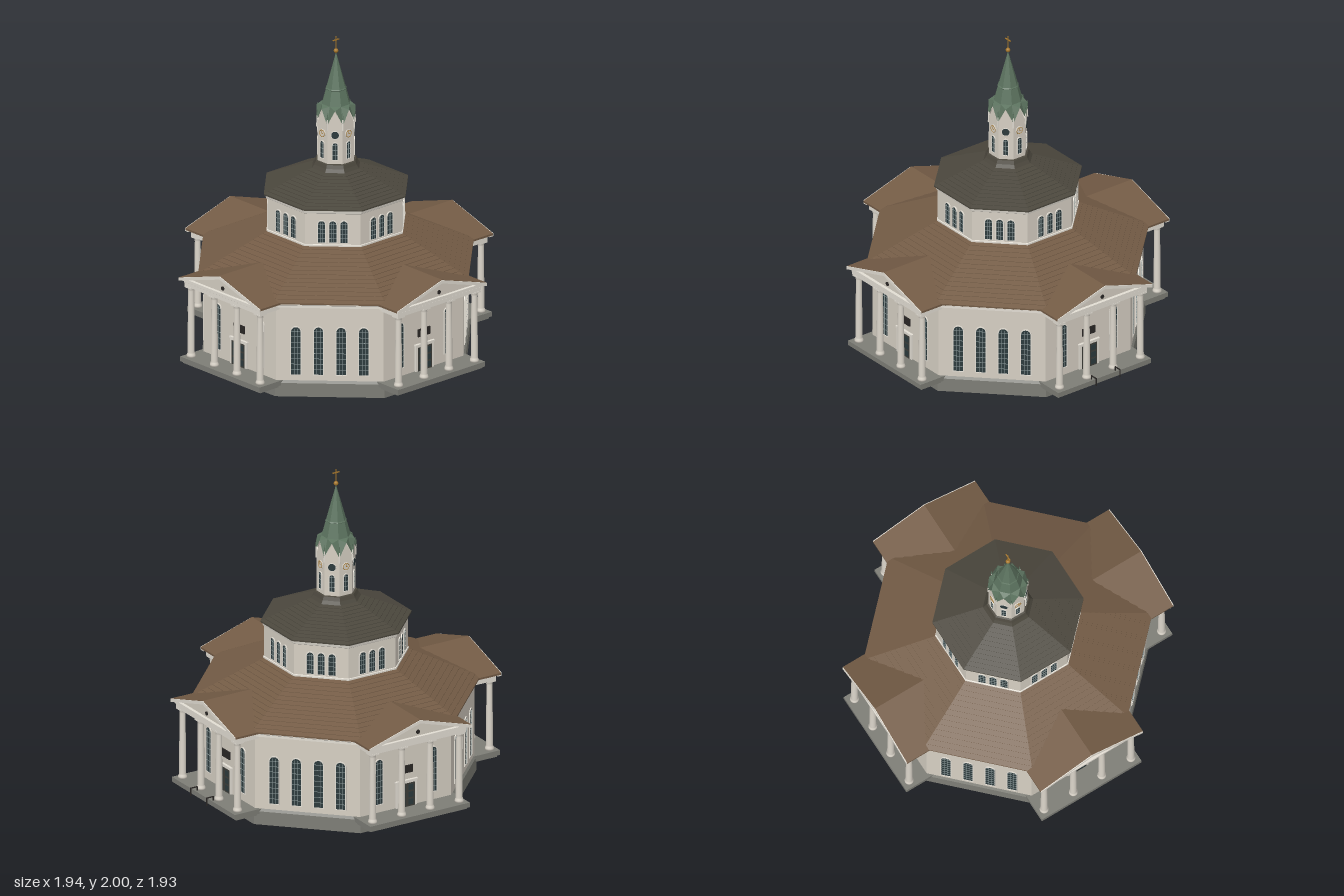
import * as THREE from 'three';

const mat = (color, flat = true) =>
  new THREE.MeshStandardMaterial({ color, flatShading: flat, side: THREE.DoubleSide });
const M = {
  wall: mat(0xd6cfc3), trim: mat(0xe2ddd3), column: mat(0xdcd6cb, false), base: mat(0x7d7d76),
  tile: mat(0x735b45), slate: mat(0x4b473d), copper: mat(0x5c735f), glass: mat(0x2c3a3d),
  bar: mat(0x8c9a9a), door: mat(0x3d3d38), dark: mat(0x2a2725), gold: mat(0xa8782c, false),
};

function add(parent, name, geo, material, x = 0, y = 0, z = 0) {
  const m = new THREE.Mesh(geo, material);
  m.name = name;
  m.position.set(x, y, z);
  parent.add(m);
  return m;
}
const box = (parent, name, w, h, d, material, x, y, z) =>
  add(parent, name, new THREE.BoxGeometry(w, h, d), material, x, y, z);

// Eight-sided turned body from [radius, height] pairs, flats facing the axes
function octagon(parent, name, profile, material) {
  const pts = profile.map(([r, y]) => new THREE.Vector2(r, y));
  return add(parent, name, new THREE.LatheGeometry(pts, 8, Math.PI / 8), material);
}

// Roof slope laid in slightly stepped tile courses
function courses(r0, y0, r1, y1, n) {
  const out = [];
  for (let i = 0; i < n; i++) {
    const a = i / n, b = (i + 1) / n;
    out.push([r0 + (r1 - r0) * a, y0 + (y1 - y0) * a + 0.003], [r0 + (r1 - r0) * b, y0 + (y1 - y0) * b]);
  }
  return out;
}

const polygon = points => new THREE.Shape(points.map(([x, y]) => new THREE.Vector2(x, y)));
const extrude = (shape, depth) =>
  new THREE.ExtrudeGeometry(shape, { depth, bevelEnabled: false, curveSegments: 8 });

// Round-headed outline, standing on height y
function archPath(Type, w, h, y = 0) {
  const p = new Type(), r = w / 2;
  p.moveTo(-r, y);
  p.lineTo(r, y);
  p.lineTo(r, h - r);
  p.absarc(0, h - r, r, 0, Math.PI, false);
  return p;
}

// Round-headed window: pane, raised surround and glazing bars
function archWindow(parent, w, h, x, y, z, cols, rows, border = 0.006) {
  const g = new THREE.Group();
  g.name = 'archedWindow';
  g.position.set(x, y, z);
  add(g, 'pane', extrude(archPath(THREE.Shape, w, h), 0.002), M.glass);
  const ring = archPath(THREE.Shape, w + border * 2, h + border);
  ring.holes.push(archPath(THREE.Path, w, h, 0.003));
  add(g, 'surround', extrude(ring, 0.006), M.trim);
  for (let i = 1; i < cols; i++)
    box(g, 'uprightBar', 0.0025, h - w * 0.2, 0.002, M.bar, -w / 2 + (w * i) / cols, (h - w * 0.2) / 2, 0.003);
  for (let i = 1; i < rows; i++)
    box(g, 'crossBar', w, 0.0025, 0.002, M.bar, 0, ((h - w / 2) * i) / (rows - 1), 0.003);
  parent.add(g);
}

function disc(parent, name, r, depth, material, x, y, z) {
  const m = add(parent, name, new THREE.CylinderGeometry(r, r, depth, 20), material, x, y, z);
  m.rotation.x = Math.PI / 2;
}

function columnGeometry() {
  const p = [[0, 0], [0.027, 0], [0.027, 0.012], [0.023, 0.022], [0.021, 0.03], [0.0205, 0.2], [0.0175, 0.42],
    [0.02, 0.424], [0.018, 0.43], [0.025, 0.442], [0.025, 0.45], [0, 0.45]];
  return new THREE.LatheGeometry(p.map(([r, y]) => new THREE.Vector2(r, y)), 16);
}

// Columned porch with pediment, door and windows
function porch(parent) {
  const g = new THREE.Group();
  g.name = 'porch';
  box(g, 'porchFloor', 0.70, 0.03, 0.40, M.base, 0, 0.085, 0.735);
  box(g, 'porchStep', 0.68, 0.015, 0.16, M.base, 0, 0.065, 0.84);
  const col = columnGeometry();
  for (const x of [-0.305, -0.1, 0.1, 0.305]) {
    add(g, 'column', col, M.column, x, 0.1, 0.888);
    box(g, 'abacus', 0.056, 0.01, 0.056, M.trim, x, 0.547, 0.888);
  }
  box(g, 'entablature', 0.67, 0.036, 0.20, M.trim, 0, 0.568, 0.815);
  box(g, 'cornice', 0.70, 0.016, 0.22, M.trim, 0, 0.594, 0.82);
  for (let i = 0; i < 25; i++) box(g, 'dentil', 0.012, 0.01, 0.008, M.trim, -0.324 + i * 0.027, 0.58, 0.919);
  add(g, 'pediment', extrude(polygon([[-0.33, 0.595], [0.33, 0.595], [0, 0.695]]), 0.35), M.wall, 0, 0, 0.56);
  disc(g, 'pedimentOpening', 0.013, 0.006, M.dark, 0, 0.627, 0.911);
  const chevron = (w, top, t) => polygon([[-w, 0.602], [0, top], [w, 0.602], [w, 0.602 - t], [0, top - t], [-w, 0.602 - t]]);
  add(g, 'porchRoof', extrude(chevron(0.36, 0.714, 0.012), 0.385), M.tile, 0, 0, 0.55);
  add(g, 'rakingCornice', extrude(chevron(0.358, 0.711, 0.02), 0.03), M.trim, 0, 0, 0.91);

  // entrance wall
  box(g, 'doorFrame', 0.145, 0.165, 0.014, M.trim, 0, 0.1825, 0.779);
  box(g, 'doorHood', 0.155, 0.01, 0.022, M.trim, 0, 0.266, 0.78);
  for (const s of [-1, 1]) {
    box(g, 'doorLeaf', 0.055, 0.15, 0.008, M.door, s * 0.0285, 0.175, 0.784);
    for (let i = 0; i < 3; i++) box(g, 'doorPanel', 0.036, 0.036, 0.004, M.glass, s * 0.0285, 0.128 + i * 0.047, 0.788);
    archWindow(g, 0.05, 0.29, s * 0.19, 0.15, 0.775, 3, 8);
  }
  box(g, 'plaque', 0.095, 0.048, 0.01, M.dark, 0, 0.338, 0.778);
  parent.add(g);
  return g;
}

// Spire whose foot runs up over a small gable on every side
function spireGeometry() {
  const v = [];
  const at = (r, y, a) => [r * Math.sin(a), y, r * Math.cos(a)];
  const apex = [0, 1.9, 0], s = Math.PI / 8;
  for (let i = 0; i < 8; i++) {
    const a = (i * Math.PI) / 4;
    const c0 = at(0.124, 1.475, a - s), c1 = at(0.124, 1.475, a + s), peak = at(0.116, 1.565, a);
    const r0 = at(0.088, 1.58, a - s), r1 = at(0.088, 1.58, a + s);
    for (const t of [[c0, peak, r0], [peak, r1, r0], [peak, c1, r1], [r0, r1, apex]]) t.forEach(p => v.push(...p));
  }
  const geo = new THREE.BufferGeometry();
  geo.setAttribute('position', new THREE.Float32BufferAttribute(v, 3));
  geo.computeVertexNormals();
  return geo;
}

export function createModel() {
  const root = new THREE.Group();
  root.name = 'octagonalChurch';
  const body = new THREE.Group();
  body.name = 'building';
  body.rotation.y = 0.083;
  root.add(body);

  // main hall, drum and roofs
  octagon(body, 'plinth', [[0, 0], [0.85, 0], [0.85, 0.085], [0.838, 0.1]], M.base);
  octagon(body, 'hallWall', [[0.838, 0.1], [0.838, 0.57]], M.wall);
  octagon(body, 'hallCornice', [[0.838, 0.562], [0.85, 0.566], [0.85, 0.58], [0.865, 0.588], [0.865, 0.598]], M.trim);
  octagon(body, 'hallRoof', [[0.8, 0.594], [0.872, 0.594], ...courses(0.872, 0.6, 0.43, 0.815, 14)], M.tile);
  octagon(body, 'drumWall', [[0.434, 0.79], [0.434, 1.03]], M.wall);
  octagon(body, 'drumSill', [[0.434, 0.812], [0.44, 0.814], [0.44, 0.824], [0.434, 0.826]], M.trim);
  octagon(body, 'drumCornice', [[0.434, 1.02], [0.442, 1.025], [0.447, 1.045], [0.42, 1.05]], M.trim);
  octagon(body, 'drumRoof', [[0.4, 1.046], [0.457, 1.046], ...courses(0.457, 1.052, 0.152, 1.18, 11)], M.slate);
  octagon(body, 'towerSkirt', [[0.152, 1.18], [0.138, 1.2], [0.128, 1.222], [0.115, 1.226]], M.slate);
  octagon(body, 'towerWall', [[0.117, 1.2], [0.117, 1.476]], M.wall);

  for (let i = 0; i < 8; i++) {
    const side = new THREE.Group();
    side.name = 'side' + (i + 1);
    side.rotation.y = (i * Math.PI) / 4;
    body.add(side);
    if (i % 2 === 0) {
      const p = porch(side);
      // handrails beside one entrance
      if (i === 2) for (const x of [-0.09, 0.09]) {
        box(p, 'handrail', 0.006, 0.006, 0.05, M.dark, x, 0.125, 0.945);
        for (const z of [0.922, 0.967]) box(p, 'railPost', 0.006, 0.05, 0.006, M.dark, x, 0.1, z);
      }
    } else {
      for (let k = 0; k < 4; k++) archWindow(side, 0.056, 0.305, (k - 1.5) * 0.135, 0.135, 0.774, 3, 9);
    }
    for (let k = -1; k <= 1; k++) archWindow(side, 0.042, 0.14, k * 0.067, 0.835, 0.401, 3, 5);

    // belfry face: gable, window, clock or round opening
    add(side, 'towerGable', extrude(polygon([[-0.0448, 1.47], [0.0448, 1.47], [0, 1.556]]), 0.006), M.wall, 0, 0, 0.1035);
    archWindow(side, 0.03, 0.11, 0, 1.25, 0.1075, 2, 4, 0.004);
    disc(side, 'roundSurround', 0.027, 0.006, M.trim, 0, 1.41, 0.108);
    const clock = i % 2 === 0;
    disc(side, clock ? 'clockFace' : 'roundOpening', 0.023, 0.006, clock ? M.wall : M.glass, 0, 1.41, 0.11);
    if (clock) {
      add(side, 'clockRing', new THREE.TorusGeometry(0.021, 0.002, 4, 20), M.gold, 0, 1.41, 0.113);
      box(side, 'minuteHand', 0.003, 0.017, 0.002, M.gold, 0, 1.418, 0.114);
      box(side, 'hourHand', 0.012, 0.003, 0.002, M.gold, 0.005, 1.41, 0.114);
    }

    // slim corner pinnacle
    const a = Math.PI / 8, px = 0.12 * Math.sin(a), pz = 0.12 * Math.cos(a);
    add(side, 'pinnacleShaft', new THREE.CylinderGeometry(0.004, 0.005, 0.07, 6), M.trim, px, 1.475, pz);
    add(side, 'pinnacleTip', new THREE.ConeGeometry(0.005, 0.05, 6), M.copper, px, 1.535, pz);
  }

  // spire and finial
  add(body, 'spire', spireGeometry(), M.copper);
  octagon(body, 'spireBand', [[0.063, 1.67], [0.066, 1.673], [0.06, 1.68]], M.copper);
  add(body, 'finialBall', new THREE.SphereGeometry(0.014, 16, 12), M.gold, 0, 1.908, 0);
  const cross = new THREE.Group();
  cross.name = 'finialCross';
  box(cross, 'crossUpright', 0.006, 0.085, 0.006, M.gold, 0, 1.9575, 0);
  box(cross, 'crossArm', 0.048, 0.006, 0.006, M.gold, 0, 1.977, 0);
  body.add(cross);
  return root;
}
